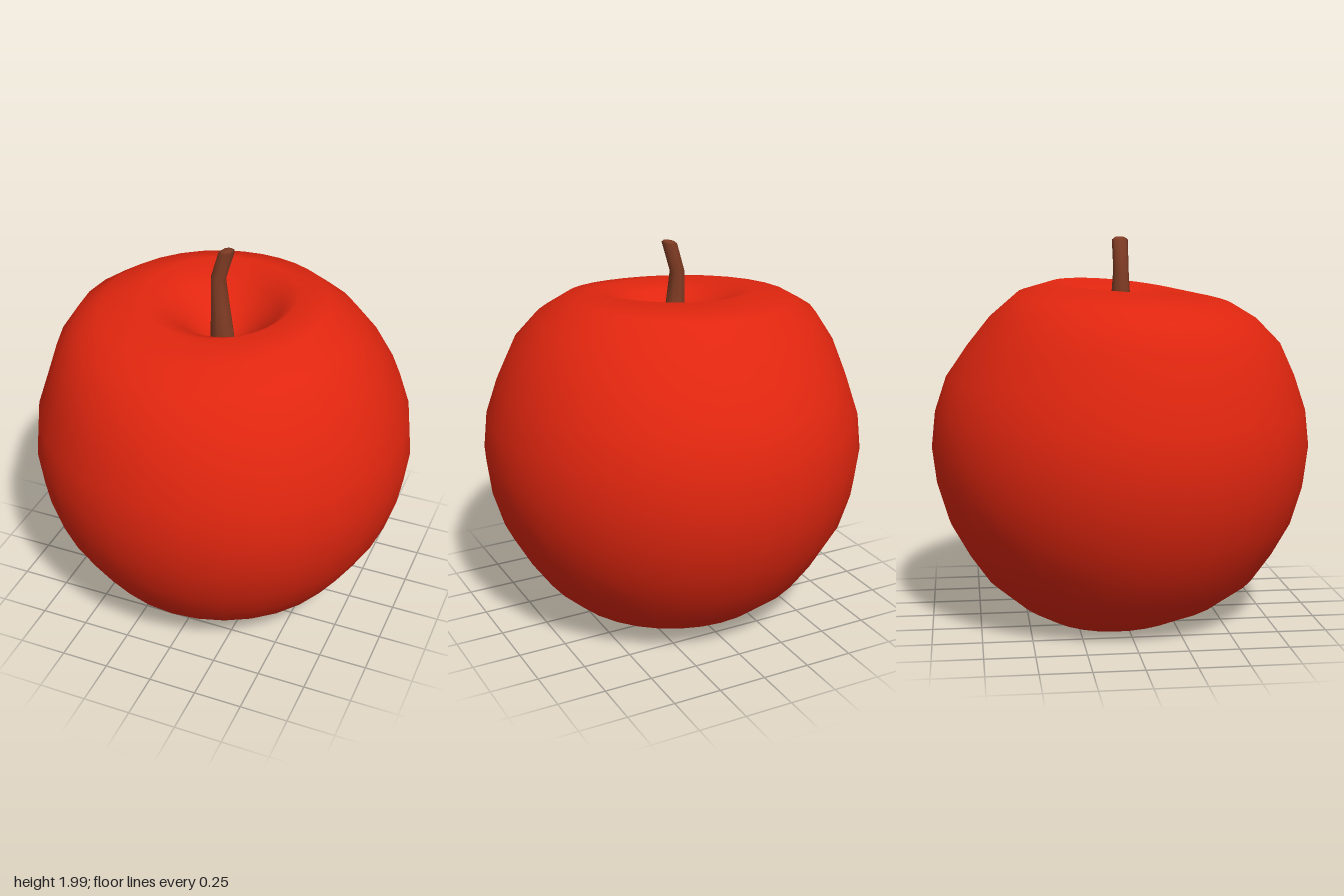
import * as THREE from 'three';
import { mergeVertices } from 'three/addons/utils/BufferGeometryUtils.js';

// Skin a stack of rings (top to bottom); point(i, angle) gives [x, y, z]
function loft(rings, sides, point) {
  const pos = [], index = [];
  for (let i = 0; i < rings; i++) {
    for (let j = 0; j < sides; j++) {
      pos.push(...point(i, (j / sides) * Math.PI * 2));
      if (i === rings - 1) continue;
      const a = i * sides + j, b = i * sides + ((j + 1) % sides);
      index.push(a, b, a + sides, b, b + sides, a + sides);
    }
  }
  const geo = new THREE.BufferGeometry();
  geo.setAttribute('position', new THREE.Float32BufferAttribute(pos, 3));
  geo.setIndex(index);
  const merged = mergeVertices(geo, 1e-5);
  merged.computeVertexNormals();
  return merged;
}

// Smooth blend of four values given at +x, +z, -x, -z
function blend(px, pz, nx, nz, t) {
  return (px + pz + nx + nz) / 4 + Math.cos(t) * (px - nx) / 2 +
    Math.sin(t) * (pz - nz) / 2 + Math.cos(2 * t) * (px + nx - pz - nz) / 4;
}

export function createModel() {
  const red = new THREE.MeshStandardMaterial({ color: 0xe0260f });
  red.name = 'apple red';
  const brown = new THREE.MeshStandardMaterial({ color: 0x803c24 });
  brown.name = 'stem brown';

  // Rings as [radius, height]; uneven ones list four: +x, +z, -x, -z
  const profile = [
    [0, 1.47], [0.1, 1.5], [0.19, 1.58], [0.28, 1.66],
    [[0.38, 1.76], [0.38, 1.7], [0.42, 1.73], [0.36, 1.765]],
    [[0.54, 1.73], [0.57, 1.66], [0.64, 1.67], [0.54, 1.71]],
    [[0.7, 1.62], [0.7, 1.58], [0.76, 1.6], [0.68, 1.59]],
    [[0.82, 1.47], [0.83, 1.45], [0.85, 1.46], [0.8, 1.44]],
    [0.91, 1.28], [0.97, 1.1], [0.99, 0.91], [0.967, 0.72], [0.91, 0.53], [0.815, 0.36],
    [0.71, 0.21],
    [[0.6, 0.11], [0.57, 0.12], [0.57, 0.08], [0.55, 0.08]],
    [[0.45, 0.05], [0.39, 0.05], [0.42, 0.01], [0.42, 0.01]],
    [[0.31, 0.07], [0.3, 0.07], [0.3, 0.04], [0.3, 0.04]],
    [0.18, 0.12], [0.08, 0.16], [0, 0.17],
  ];
  const body = loft(profile.length, 32, (i, t) => {
    const p = profile[i];
    const [r, y] = Array.isArray(p[0])
      ? [0, 1].map((k) => blend(p[0][k], p[1][k], p[2][k], p[3][k], t)) : p;
    return [Math.cos(t) * r, y, Math.sin(t) * r];
  });

  // Bent stem: [centre x, height, radius, sideways slope of the ring]
  const stemRings = [
    [0.017, 1.992, 0, 0], [0.017, 1.992, 0.027, 0.15], [0.014, 1.98, 0.042, 0.15],
    [-0.03, 1.83, 0.04, 0], [-0.02, 1.68, 0.05, 0], [-0.01, 1.51, 0.064, 0], [0, 1.46, 0.055, 0],
  ];
  const stem = loft(stemRings.length, 8, (i, t) => {
    const [x, y, r, slope] = stemRings[i];
    const dx = Math.cos(t) * r;
    return [x + dx, y + dx * slope, Math.sin(t) * r];
  });

  const group = new THREE.Group();
  group.name = 'apple';
  for (const [name, geo, mat] of [['fruit', body, red], ['stem', stem, brown]]) {
    const mesh = new THREE.Mesh(geo, mat);
    mesh.name = name;
    group.add(mesh);
  }
  return group;
}
